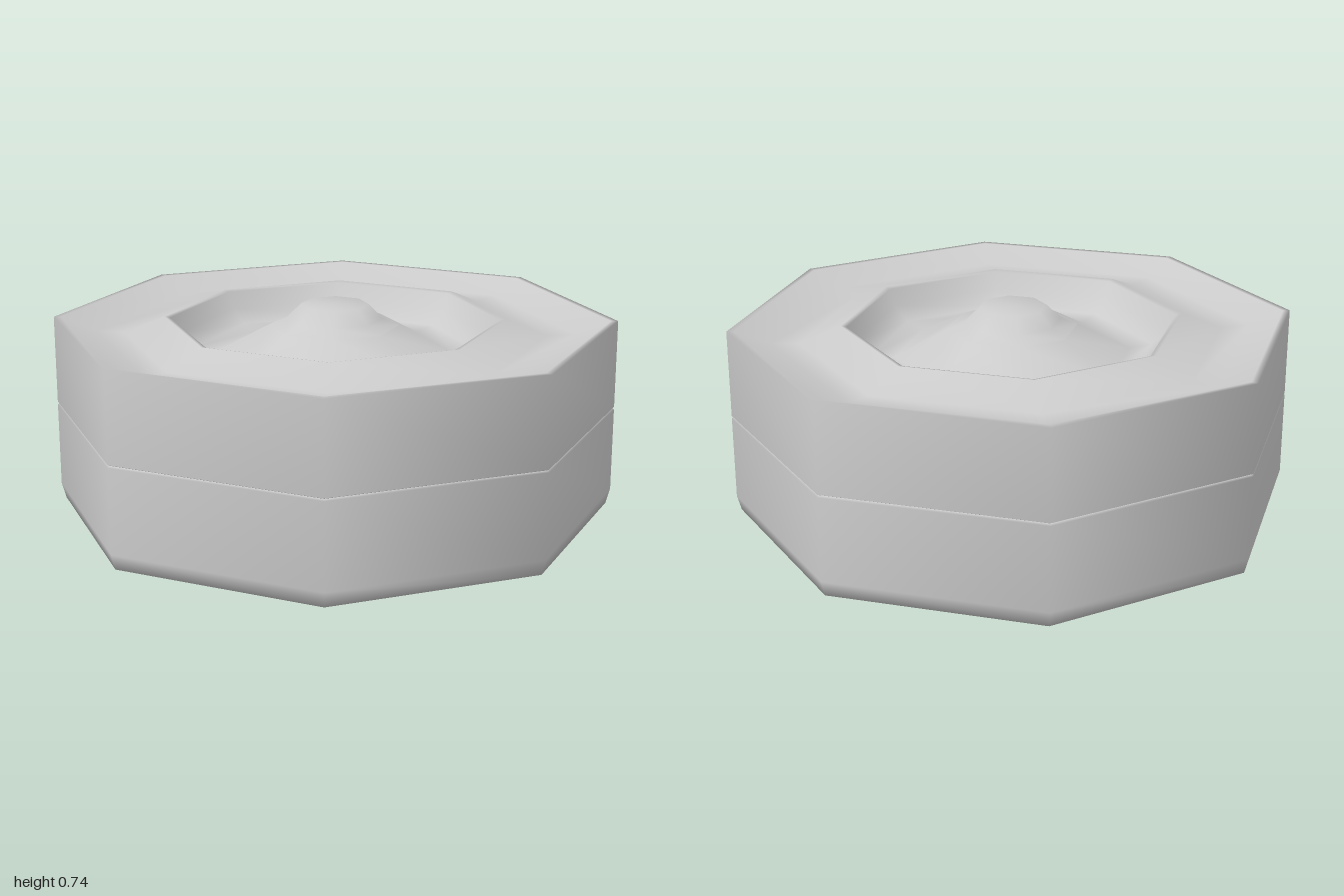
import * as THREE from 'three';

const SIDES = 8;

// Eight-sided turned part with smooth normals; profile runs bottom to top as [radius, height]
function turned(name, profile) {
  const points = profile.map(([r, y]) => new THREE.Vector2(r, y));
  const material = new THREE.MeshStandardMaterial({ color: 0xcccccc });
  const mesh = new THREE.Mesh(new THREE.LatheGeometry(points, SIDES), material);
  mesh.name = name;
  return mesh;
}

export function createModel() {
  const group = new THREE.Group();
  group.name = 'octagonalDisc';

  // Lower tier: flat base blending softly into the wall
  group.add(turned('lowerTier', [
    [0, 0], [0.985, 0], [1, 0.055], [1, 0.355], [0.99, 0.36],
  ]));

  // Upper tier: wall, shallow outer trough, raised ring, deeper inner trough and central mound
  group.add(turned('upperTier', [
    [0.99, 0.36], [1, 0.365], [1, 0.68], [0.975, 0.68],
    [0.85, 0.63], [0.75, 0.625], [0.605, 0.685], [0.585, 0.68],
    [0.56, 0.62], [0.5, 0.572], [0.42, 0.56], [0.23, 0.66],
  ]));

  // Centre knob: flared foot and flat top
  group.add(turned('centreKnob', [
    [0.23, 0.66], [0.17, 0.685], [0.12, 0.735], [0, 0.735],
  ]));

  return group;
}
